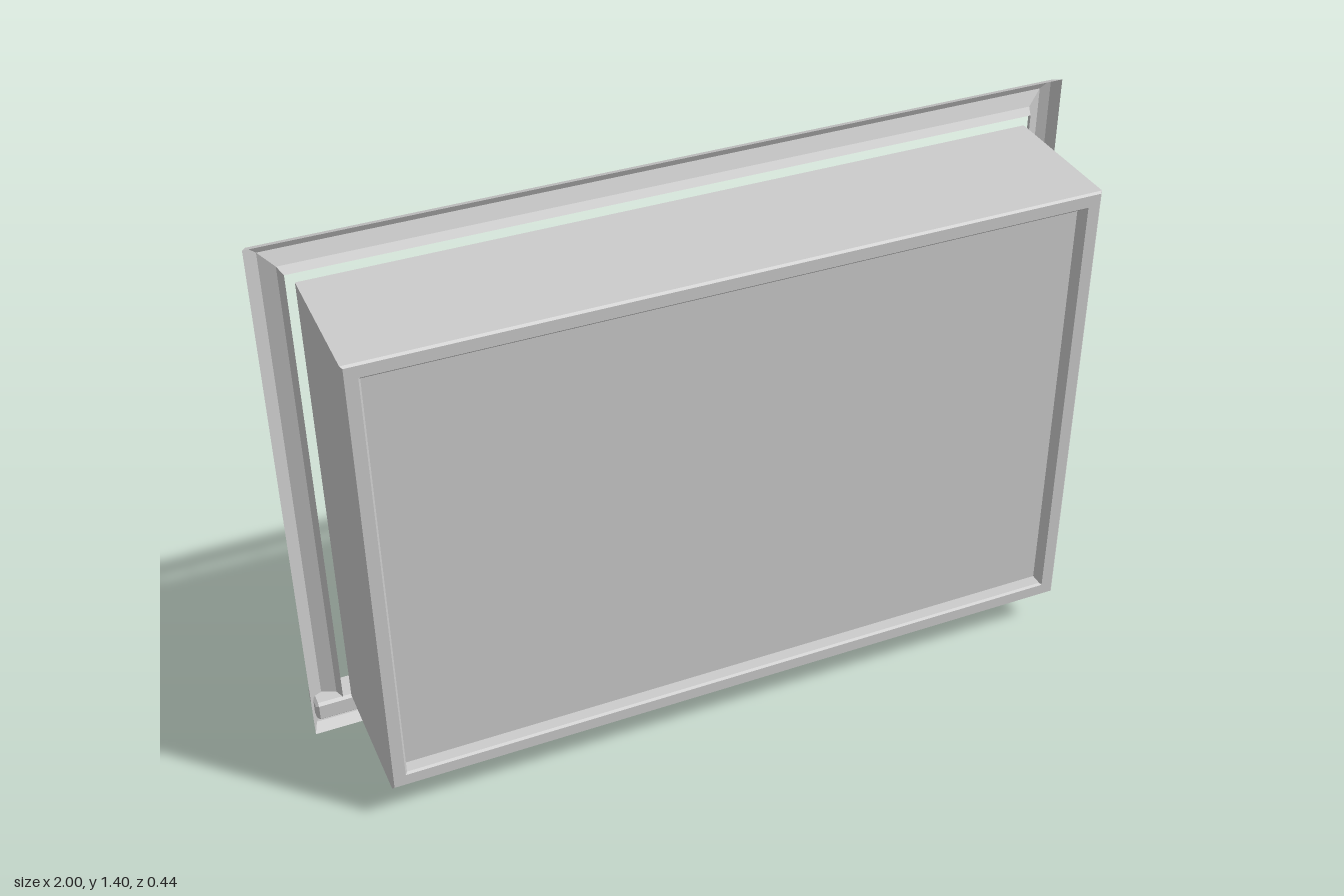
import * as THREE from 'three';

const GREY = new THREE.MeshStandardMaterial({ color: 0xcccccc, flatShading: true });
const GREY_DOUBLE = new THREE.MeshStandardMaterial({ color: 0xcccccc, flatShading: true, side: THREE.DoubleSide });

// Axis-aligned box given by its lower and upper corners
function block(name, [x0, y0, z0], [x1, y1, z1]) {
  const mesh = new THREE.Mesh(new THREE.BoxGeometry(x1 - x0, y1 - y0, z1 - z0), GREY);
  mesh.position.set((x0 + x1) / 2, (y0 + y1) / 2, (z0 + z1) / 2);
  mesh.name = name;
  return mesh;
}

function rectPoints(x, y0, y1) {
  return [[-x, y0], [x, y0], [x, y1], [-x, y1]].map(([a, b]) => new THREE.Vector2(a, b));
}

// Deep box frame with slightly eased edges
function makeBoxFrame() {
  const bevel = 0.005;
  const shape = new THREE.Shape(rectPoints(0.9, 0.1, 1.3));
  shape.holes.push(new THREE.Path(rectPoints(0.86, 0.14, 1.26)));
  const geo = new THREE.ExtrudeGeometry(shape, {
    depth: 0.36 - 2 * bevel, bevelEnabled: true, bevelSegments: 1,
    bevelSize: bevel, bevelThickness: bevel, bevelOffset: -bevel,
  });
  geo.translate(0, 0, -0.14 + bevel);
  const mesh = new THREE.Mesh(geo, GREY);
  mesh.name = 'boxFrame';
  return mesh;
}

// Mitred moulding: a profile of [inset, z] swept around the rectangle
function makeCasing() {
  const profile = [[0, -0.14], [0.012, -0.17], [0.035, -0.18], [0.07, -0.165], [0.08, -0.14]];
  const corner = ([inset, z], i) => {
    const p = rectPoints(1 - inset, inset, 1.4 - inset)[i % 4];
    return [p.x, p.y, z];
  };
  const pos = [];
  for (let i = 0; i < 4; i++) {
    for (let j = 0; j < profile.length - 1; j++) {
      const a = corner(profile[j], i), b = corner(profile[j], i + 1);
      const c = corner(profile[j + 1], i + 1), d = corner(profile[j + 1], i);
      pos.push(...a, ...c, ...b, ...a, ...d, ...c);
    }
  }
  const geo = new THREE.BufferGeometry();
  geo.setAttribute('position', new THREE.Float32BufferAttribute(pos, 3));
  geo.computeVertexNormals();
  const mesh = new THREE.Mesh(geo, GREY_DOUBLE);
  mesh.name = 'casing';
  return mesh;
}

// Sill bar with chamfered edges on all sides
function makeSill() {
  const c = 0.007, z0 = -0.218, z1 = -0.136, y0 = 0.042, y1 = 0.097;
  const shape = new THREE.Shape([
    [z0 + c, y0], [z1 - c, y0], [z1, y0 + c], [z1, y1 - c],
    [z1 - c, y1], [z0 + c, y1], [z0, y1 - c], [z0, y0 + c],
  ].map(([z, y]) => new THREE.Vector2(-z, y)).reverse());
  const geo = new THREE.ExtrudeGeometry(shape, {
    depth: 1.98 - 2 * c, bevelEnabled: true, bevelSegments: 1,
    bevelSize: c, bevelThickness: c, bevelOffset: -c,
  });
  geo.translate(0, 0, -0.99 + c);
  geo.rotateY(Math.PI / 2);
  const mesh = new THREE.Mesh(geo, GREY);
  mesh.name = 'sill';
  return mesh;
}

export function createModel() {
  const model = new THREE.Group();
  model.name = 'window';
  model.add(makeBoxFrame(), makeCasing(), makeSill());

  // Pane recessed behind the front edge
  model.add(block('pane', [-0.86, 0.14, 0.175], [0.86, 1.26, 0.185]));

  // Four deep upright posts and the thin glazing bars against the pane
  const posts = new THREE.Group();
  posts.name = 'posts';
  const bars = new THREE.Group();
  bars.name = 'glazingBars';
  for (const k of [-1.5, -0.5, 0.5, 1.5]) {
    const xp = k * 0.344, xb = k * 0.36;
    posts.add(block('post', [xp - 0.04, 0.14, -0.11], [xp + 0.04, 1.26, 0.08]));
    bars.add(block('verticalBar', [xb - 0.014, 0.14, 0.145], [xb + 0.014, 1.26, 0.175]));
  }
  bars.add(block('horizontalBar', [-0.86, 0.686, 0.147], [0.86, 0.714, 0.175]));
  model.add(posts, bars);
  return model;
}
